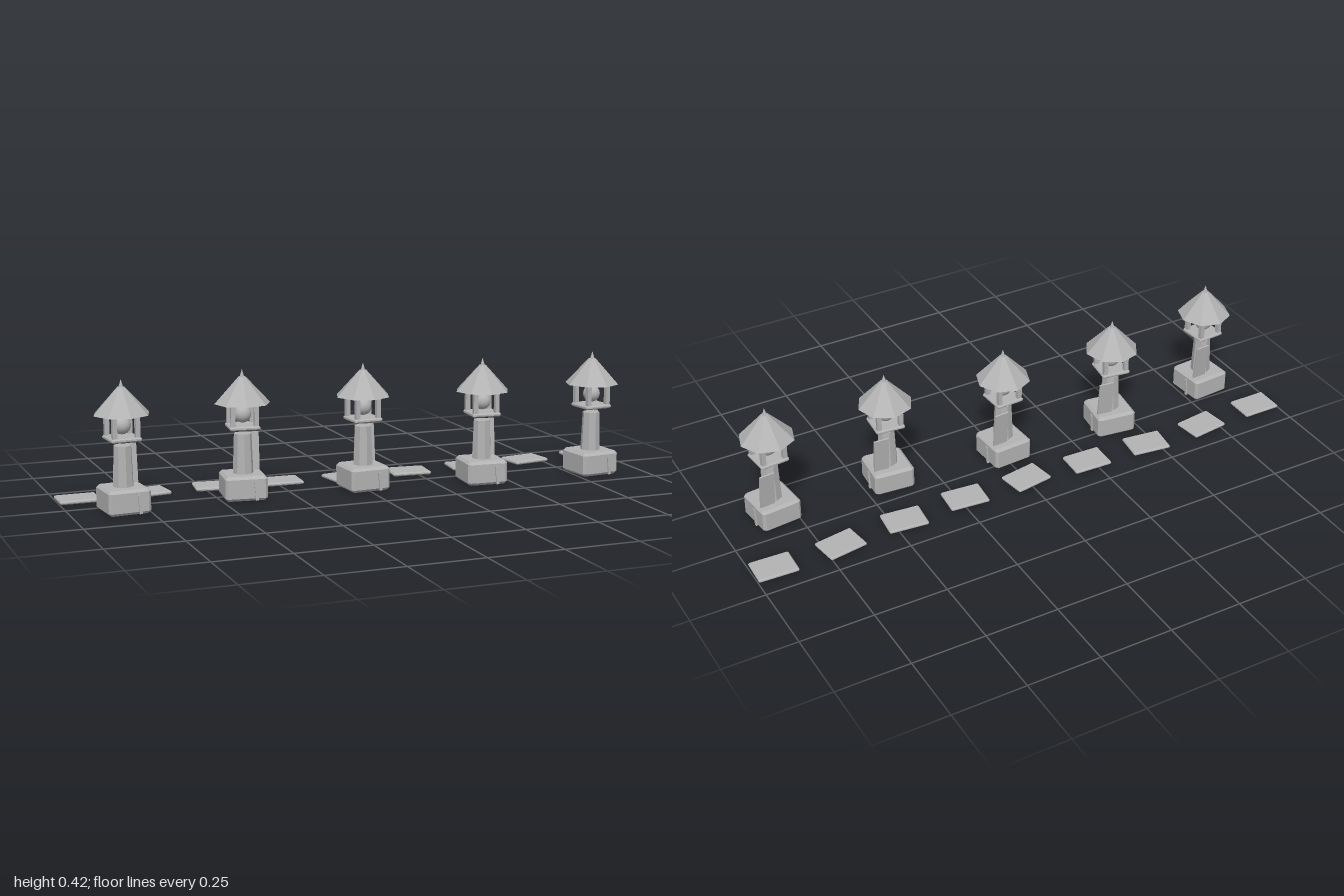
import * as THREE from 'three';

const stone = new THREE.MeshStandardMaterial({ color: 0xb3b3b3 });
stone.name = 'grey stone';

// Faceted copy of a geometry
function faceted(geometry) {
  const g = geometry.index ? geometry.toNonIndexed() : geometry;
  g.computeVertexNormals();
  return g;
}

// Box with all edges chamfered, standing on y = 0
function chamferBox(w, h, d, c) {
  const x = w / 2, z = d / 2;
  const shape = new THREE.Shape([
    [x, -z + c], [x, z - c], [x - c, z], [-x + c, z],
    [-x, z - c], [-x, -z + c], [-x + c, -z], [x - c, -z],
  ].map(([a, b]) => new THREE.Vector2(a, b)));
  const g = new THREE.ExtrudeGeometry(shape, {
    depth: h - 2 * c, bevelEnabled: true, bevelSegments: 1,
    bevelThickness: c, bevelSize: c, bevelOffset: -c,
  });
  g.rotateX(-Math.PI / 2);
  g.translate(0, c, 0);
  return faceted(g);
}

function add(parent, name, geometry, x = 0, y = 0, z = 0) {
  const mesh = new THREE.Mesh(geometry, stone);
  mesh.name = name;
  mesh.position.set(x, y, z);
  parent.add(mesh);
  return mesh;
}

const geo = {
  base: chamferBox(0.14, 0.081, 0.14, 0.009),
  column: faceted(new THREE.CylinderGeometry(0.029, 0.034, 0.131, 8)),
  panel: new THREE.BoxGeometry(0.052, 0.126, 0.006),
  strip: new THREE.BoxGeometry(0.009, 0.062, 0.007),
  platform: chamferBox(0.1, 0.013, 0.1, 0.004),
  post: new THREE.BoxGeometry(0.015, 0.072, 0.015),
  lamp: new THREE.SphereGeometry(0.029, 24, 16),
  roof: faceted(new THREE.CylinderGeometry(0.012, 0.092, 0.087, 8)),
  finial: faceted(new THREE.ConeGeometry(0.008, 0.026, 8)),
  slab: chamferBox(0.136, 0.012, 0.102, 0.004),
};

function createLantern() {
  const lantern = new THREE.Group();

  // Pedestal, column and leaning panel behind it
  add(lantern, 'base', geo.base, 0, 0.003, 0);
  add(lantern, 'column', geo.column, 0, 0.15, 0);
  add(lantern, 'leaningPanel', geo.panel, 0.036, 0.147, -0.043).rotation.x = -0.1;

  // Narrow strips on the pedestal faces
  add(lantern, 'frontStrip', geo.strip, 0.03, 0.036, 0.071).rotation.z = 0.1;
  const side = add(lantern, 'sideStrip', geo.strip, 0.071, 0.036, -0.012);
  side.rotation.set(0.1, Math.PI / 2, 0, 'XYZ');

  // Open lamp chamber
  add(lantern, 'platform', geo.platform, 0, 0.232, 0);
  for (const sx of [-1, 1]) for (const sz of [-1, 1]) {
    add(lantern, 'post', geo.post, sx * 0.038, 0.28, sz * 0.038);
  }
  add(lantern, 'lampBall', geo.lamp, 0, 0.28, 0);

  // Eight-sided roof with a pointed tip
  add(lantern, 'roof', geo.roof, 0, 0.3585, 0);
  add(lantern, 'finial', geo.finial, 0, 0.414, 0);
  return lantern;
}

export function createModel() {
  const model = new THREE.Group();
  model.name = 'lanternPath';

  // Lanterns: x, z, turn
  [
    [-0.828, 0.07, 0.08], [-0.416, 0.026, -0.13], [-0.003, 0.047, 0.06],
    [0.408, 0.102, -0.08], [0.821, 0.111, 0.1],
  ].forEach(([x, z, turn], i) => {
    const lantern = createLantern();
    lantern.name = 'lantern' + (i + 1);
    lantern.position.set(x, 0, z);
    lantern.rotation.y = turn;
    model.add(lantern);
  });

  // Stepping stones: x, z, turn
  [
    [-0.931, -0.128, 0], [-0.696, -0.139, 0.13], [-0.464, -0.142, -0.13],
    [-0.232, -0.13, -0.04], [-0.002, -0.115, 0.16], [0.23, -0.112, -0.09],
    [0.46, -0.123, -0.1], [0.695, -0.139, 0.15], [0.928, -0.142, -0.04],
  ].forEach(([x, z, turn]) => {
    add(model, 'steppingStone', geo.slab, x, 0.002, z).rotation.y = turn;
  });
  return model;
}
